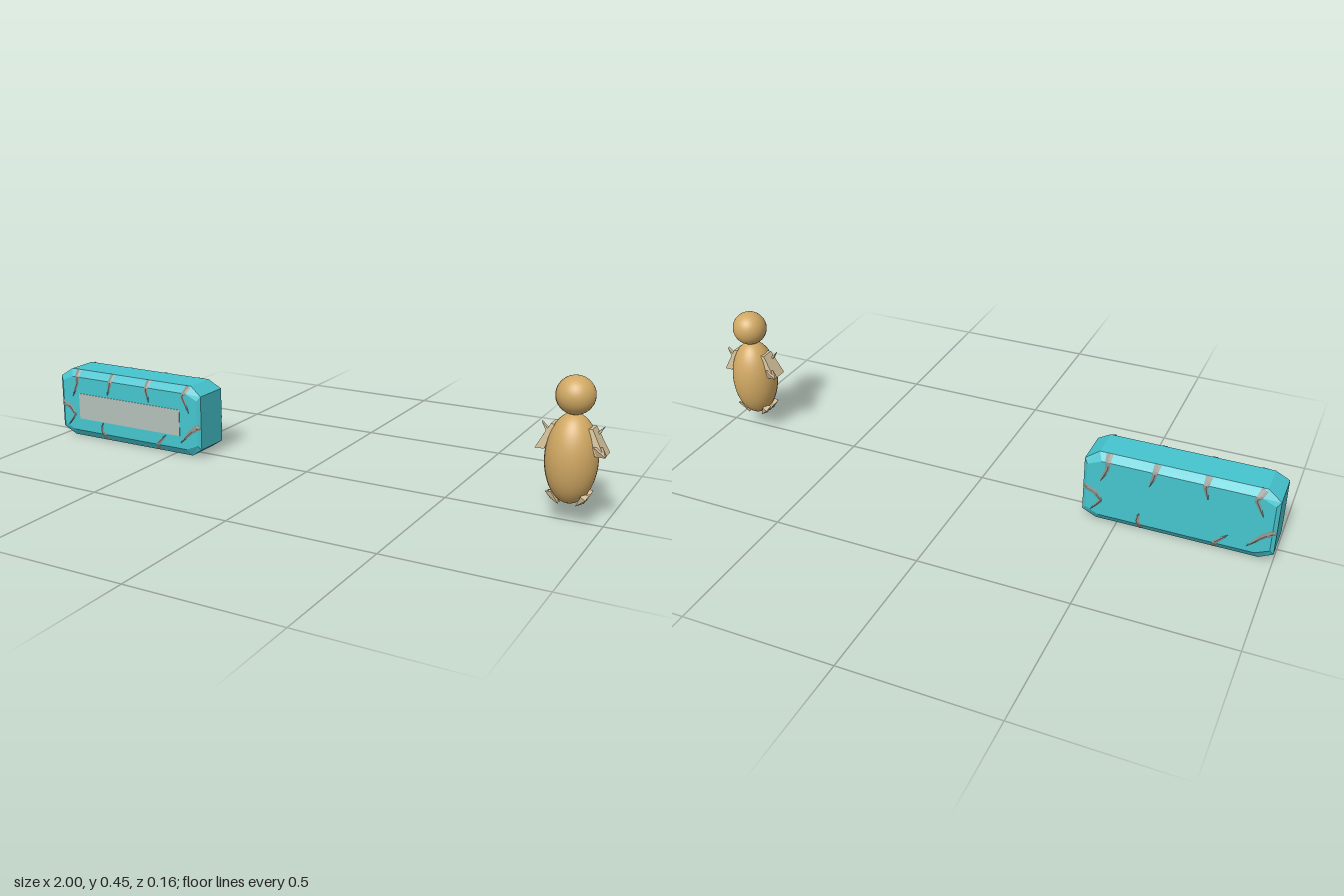
import * as THREE from 'three';
import { ConvexGeometry } from 'three/addons/geometries/ConvexGeometry.js';

const mat = (color, flat = true) =>
  new THREE.MeshStandardMaterial({ color, flatShading: flat, side: THREE.DoubleSide });
const TEAL = mat(0x45c4ce), STONE = mat(0x8d918a), PANEL = mat(0xb2bfba);
const TAN = mat(0xd0a863, false), CREAM = mat(0xd6c39c), BROWN = mat(0xb59c78);

function add(parent, name, geometry, material) {
  const mesh = new THREE.Mesh(geometry, material);
  mesh.name = name;
  parent.add(mesh);
  return mesh;
}

function indexed(points, index) {
  const g = new THREE.BufferGeometry();
  g.setAttribute('position', new THREE.Float32BufferAttribute(points.flat(), 3));
  g.setIndex(index);
  g.computeVertexNormals();
  return g;
}

const hull = (pts) => new ConvexGeometry(pts.map((p) => new THREE.Vector3(...p)));

// Slab half sizes and bevels
const HX = 0.3075, HY = 0.126, HZ = 0.0725, BX = 0.012, BY = 0.025;
const CENTRE = [-0.6925, HY, -0.0075];

function octagon(hx, hy, cx, cy, z) {
  return [[hx, cy - hy], [hx, hy - cy], [hx - cx, hy], [cx - hx, hy],
    [-hx, hy - cy], [-hx, cy - hy], [cx - hx, -hy], [hx - cx, -hy]]
    .map(([x, y], i) => [x, y, z(i % 4 < 2)]);
}

// Bevelled eight-sided slab from four rings
function slabGeometry() {
  const ringZ = (end) => HZ - (end ? 0.008 : 0.018);
  const inner = (s) => octagon(HX - BX, HY - BY, 0.045, 0.02, () => s * HZ);
  const outer = (s) => octagon(HX, HY, 0.045, 0.03, (end) => s * ringZ(end));
  const pts = [inner(-1), outer(-1), outer(1), inner(1)].flat();
  const index = [];
  for (let r = 0; r < 3; r++) {
    for (let i = 0; i < 8; i++) {
      const a = r * 8 + i, b = r * 8 + (i + 1) % 8;
      index.push(a, b, b + 8, a, b + 8, a + 8);
    }
  }
  for (let i = 1; i < 7; i++) index.push(0, i + 1, i, 24, 24 + i, 25 + i);
  return indexed(pts, index);
}

// Height of the slab's face, following the bevel
function faceZ(x, y) {
  const t = (v, h, b) => THREE.MathUtils.clamp((Math.abs(v) - h + b) / b, 0, 1);
  return HZ - Math.max(0.018 * t(y, HY, BY), 0.008 * t(x, HX, BX));
}

// Tapering ridged crack laid over the face
function crackGeometry(path) {
  const pts = [], index = [], steps = 4, last = (path.length - 1) * steps;
  for (let i = 0; i <= last; i++) {
    const s = Math.min(Math.floor(i / steps), path.length - 2), t = i / steps - s;
    const [a, b] = [path[s], path[s + 1]];
    const x = a[0] + (b[0] - a[0]) * t - CENTRE[0];
    const y = a[1] + (b[1] - a[1]) * t - CENTRE[1];
    const l = Math.hypot(b[0] - a[0], b[1] - a[1]);
    const w = 0.011 * (1 - i / last) ** 0.6;
    for (const k of [-1, 0.2, 1]) {
      const px = x + (k * w * (a[1] - b[1])) / l, py = y + (k * w * (b[0] - a[0])) / l;
      pts.push([px, py, faceZ(px, py) + (Math.abs(k) < 1 ? 0.003 : 0.0005)]);
    }
    if (i < last) {
      for (const k of [0, 1]) {
        const q = i * 3 + k;
        index.push(q, q + 3, q + 1, q + 1, q + 3, q + 4);
      }
    }
  }
  return indexed(pts, index);
}

const CRACKS = [
  [[-0.922, 0.252], [-0.922, 0.205], [-0.944, 0.152]],
  [[-0.767, 0.252], [-0.773, 0.215], [-0.785, 0.175]],
  [[-0.607, 0.252], [-0.612, 0.217], [-0.6, 0.175]],
  [[-0.438, 0.25], [-0.457, 0.215], [-0.43, 0.16]],
  [[-0.997, 0.125], [-0.96, 0.11], [-0.938, 0.083], [-0.97, 0.04]],
  [[-0.388, 0.115], [-0.42, 0.095], [-0.44, 0.075], [-0.468, 0.045]],
  [[-0.8, 0.003], [-0.815, 0.04], [-0.81, 0.067]],
  [[-0.57, 0.003], [-0.564, 0.03], [-0.527, 0.067]],
];

function createSlab() {
  const slab = new THREE.Group();
  slab.name = 'slab';
  slab.position.set(...CENTRE);
  add(slab, 'slabBody', slabGeometry(), TEAL);
  add(slab, 'frontPanel', new THREE.BoxGeometry(0.445, 0.095, 0.004), PANEL)
    .position.set(0, -0.008, HZ);
  // The same cracks on both faces, turned half round
  for (const side of ['front', 'back']) {
    const cracks = new THREE.Group();
    cracks.name = side + 'Cracks';
    if (side === 'back') cracks.rotation.y = Math.PI;
    CRACKS.forEach((path, i) => add(cracks, 'crack' + (i + 1), crackGeometry(path), STONE));
    slab.add(cracks);
  }
  return slab;
}

function createFigure() {
  const figure = new THREE.Group();
  figure.name = 'figure';
  figure.position.set(0.893, 0, 0.003);
  const body = add(figure, 'body', new THREE.SphereGeometry(1, 40, 28), TAN);
  body.scale.set(0.079, 0.14, 0.079);
  body.position.y = 0.197;
  add(figure, 'head', new THREE.SphereGeometry(0.0585, 36, 24), TAN).position.y = 0.39;

  for (const s of [1, -1]) {
    const side = new THREE.Group();
    side.name = s > 0 ? 'leftLimbs' : 'rightLimbs';
    side.rotation.y = s > 0 ? 0 : Math.PI;
    // Flared wing plate with a raised tooth and a lower chip
    add(side, 'wing', hull([
      [0.05, 0.3, 0.023], [0.05, 0.3, -0.023], [0.062, 0.3, 0.023], [0.062, 0.3, -0.023],
      [0.075, 0.222, 0.033], [0.075, 0.222, -0.03], [0.104, 0.222, 0.033], [0.104, 0.222, -0.03],
    ]), CREAM);
    add(side, 'wingTooth', hull([
      [0.06, 0.275, -0.01], [0.06, 0.275, -0.025], [0.074, 0.276, -0.011],
      [0.074, 0.276, -0.025], [0.09, 0.304, -0.012], [0.088, 0.302, -0.024],
    ]), CREAM);
    add(side, 'wingChip', hull([
      [0.07, 0.25, 0.02], [0.07, 0.25, 0.034], [0.095, 0.25, 0.022],
      [0.107, 0.226, 0.02], [0.107, 0.224, 0.035], [0.08, 0.224, 0.034],
    ]), BROWN);
    // Jagged foot made of three shards
    [-0.024, 0.002, 0.027].forEach((z, i) => {
      const y = 0.096 - 0.004 * (i % 2);
      add(side, 'footShard' + (i + 1), hull([
        [0.045, y, z - 0.013], [0.045, y, z + 0.015], [0.063, y - 0.002, z - 0.012],
        [0.06, y - 0.01, z + 0.014], [0.052, 0.07, z * 0.8], [0.025, 0.056, z * 0.7 - 0.008],
        [0.028, 0.059, z * 0.7 + 0.009],
      ]), i % 2 ? BROWN : CREAM);
    });
    figure.add(side);
  }
  return figure;
}

export function createModel() {
  const model = new THREE.Group();
  model.name = 'slabAndFigure';
  model.add(createSlab(), createFigure());
  return model;
}
